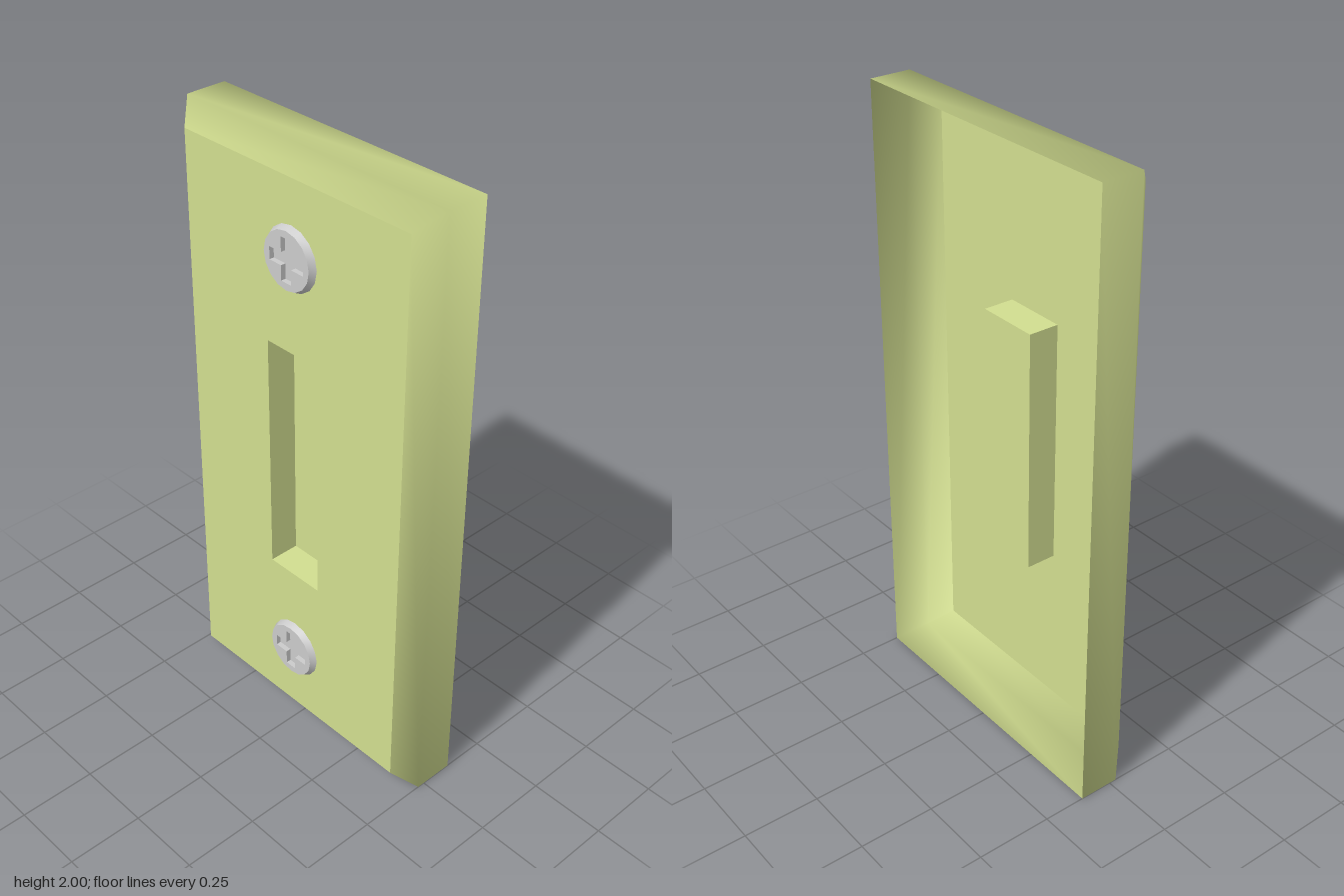
import * as THREE from 'three';

const FRONT = 0.09, BACK = -0.11, SIDE_TOP = 0.025, POCKET_FLOOR = -0.01;
const HEAD_TOP = 0.11, SLOT_FLOOR = 0.094;

const plateMat = new THREE.MeshStandardMaterial({ color: 0xd2de90, side: THREE.DoubleSide });
const pocketMat = plateMat.clone();
pocketMat.flatShading = true;
const screwMat = new THREE.MeshStandardMaterial({ color: 0xcccccc });
const slotMat = new THREE.MeshStandardMaterial({ color: 0xcccccc, flatShading: true });

// Counter-clockwise outlines as [x, y] points
const rect = (w, h) => [[-w, -h], [w, -h], [w, h], [-w, h]];
const circle = (r, n) => Array.from({ length: n }, (_, i) => {
  const a = (i / n) * Math.PI * 2;
  return [r * Math.cos(a), r * Math.sin(a)];
});
const cross = (l, w) => [
  [l, -w], [l, w], [w, w], [w, l], [-w, l], [-w, w],
  [-l, w], [-l, -w], [-w, -w], [-w, -l], [w, -l], [w, -w],
];

// Walls joining rings of equal point count; back-to-front rings face outward
function walls(rings) {
  const n = rings[0].points.length, pos = [], index = [];
  rings.forEach(({ points, z }) => points.forEach(([x, y]) => pos.push(x, y, z)));
  for (let k = 0; k < rings.length - 1; k++) {
    for (let i = 0; i < n; i++) {
      const j = (i + 1) % n, a = k * n + i, b = k * n + j;
      index.push(a, b, b + n, a, b + n, a + n);
    }
  }
  const g = new THREE.BufferGeometry();
  g.setAttribute('position', new THREE.Float32BufferAttribute(pos, 3));
  g.setIndex(index);
  g.computeVertexNormals();
  return g;
}

// Flat face at depth z, with an optional hole
function face(points, z, hole) {
  const toVec = (list) => list.map(([x, y]) => new THREE.Vector2(x, y));
  const shape = new THREE.Shape(toVec(points));
  if (hole) shape.holes.push(new THREE.Path(toVec(hole)));
  return new THREE.ShapeGeometry(shape).translate(0, 0, z);
}

function add(parent, name, geometry, material) {
  const mesh = new THREE.Mesh(geometry, material);
  mesh.name = name;
  parent.add(mesh);
}

function createScrew(name, y) {
  const screw = new THREE.Group();
  screw.name = name;
  const rim = circle(0.09, 16), slot = cross(0.067, 0.02);
  add(screw, 'headRim', walls([
    { points: circle(0.1, 16), z: FRONT }, { points: rim, z: HEAD_TOP },
  ]), screwMat);
  add(screw, 'headTop', face(rim, HEAD_TOP, slot), screwMat);
  add(screw, 'slotWalls', walls([
    { points: slot, z: HEAD_TOP }, { points: slot, z: SLOT_FLOOR },
  ]), slotMat);
  add(screw, 'slotFloor', face(slot, SLOT_FLOOR), slotMat);
  screw.position.y = y;
  return screw;
}

export function createModel() {
  const model = new THREE.Group();
  model.name = 'wallPlate';

  // Thin open-backed cover with a bevelled edge and a central pocket
  const cover = new THREE.Group();
  cover.name = 'cover';
  cover.position.y = 1;
  const outer = rect(0.5, 1), inner = rect(0.4375, 0.9375), pocket = rect(0.104, 0.4);
  add(cover, 'bevelledSides', walls([
    { points: outer, z: BACK }, { points: outer, z: SIDE_TOP }, { points: inner, z: FRONT },
  ]), plateMat);
  add(cover, 'frontFace', face(inner, FRONT, pocket), plateMat);
  add(cover, 'pocketWalls', walls([
    { points: pocket, z: FRONT }, { points: pocket, z: POCKET_FLOOR },
  ]), pocketMat);
  add(cover, 'pocketFloor', face(pocket, POCKET_FLOOR), pocketMat);
  model.add(cover);

  // Cross-slot screws
  model.add(createScrew('topScrew', 1.7), createScrew('bottomScrew', 0.3));
  return model;
}
